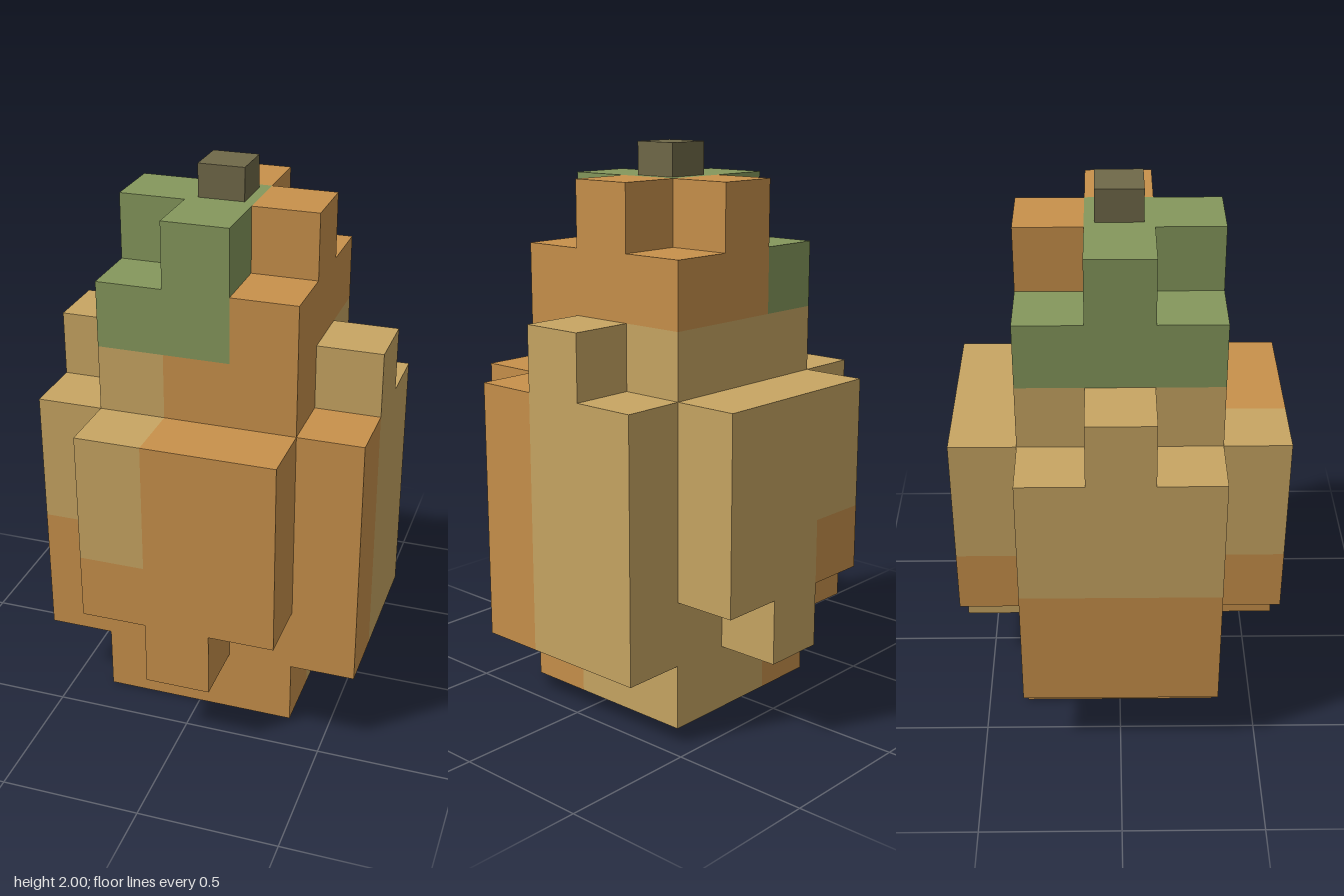
import * as THREE from 'three';
import { mergeGeometries } from 'three/addons/utils/BufferGeometryUtils.js';

const U = 2 / 8.5; // edge of one block

const material = (name, color) => {
  const m = new THREE.MeshStandardMaterial({ color });
  m.name = name;
  return m;
};

// Parts as block ranges: [x0, x1, y0, y1, z0, z1], inclusive
const PARTS = {
  core: [[-1, 1, 0, 6, -1, 1], [0, 0, 7, 7, -1, 1], [-1, 1, 7, 7, 0, 0]],
  frontSlab: [[-1, 1, 2, 4, 2, 2], [0, 0, 1, 1, 2, 2]],
  backSlab: [[-1, 1, 2, 4, -2, -2], [0, 0, 1, 1, -2, -2]],
  leftSlab: [[2, 2, 1, 4, -1, 1], [2, 2, 5, 5, 0, 0]],
  rightSlab: [[-2, -2, 1, 4, -1, 1], [-2, -2, 5, 5, 0, 0]],
};

// Patchwork colouring of the blocks
function colourOf(x, y, z) {
  if (y >= 6) return x < 0 || (x < 1 && z >= 0) ? 'green' : 'orange';
  if (y >= 3) return x >= 0 && z >= 1 ? 'orange' : 'tan';
  return x >= 0 && z < 1 ? 'tan' : 'orange';
}

// The six faces of a block: outward direction and rotation of a +z plane
const FACES = [
  [0, 0, 1, 0, 0], [0, 0, -1, 0, Math.PI],
  [1, 0, 0, 0, Math.PI / 2], [-1, 0, 0, 0, -Math.PI / 2],
  [0, 1, 0, -Math.PI / 2, 0], [0, -1, 0, Math.PI / 2, 0],
];

function cellsOf(ranges) {
  const cells = new Map();
  for (const [x0, x1, y0, y1, z0, z1] of ranges)
    for (let x = x0; x <= x1; x++)
      for (let y = y0; y <= y1; y++)
        for (let z = z0; z <= z1; z++) cells.set(`${x},${y},${z}`, [x, y, z]);
  return cells;
}

export function createModel() {
  const model = new THREE.Group();
  model.name = 'blockGourd';
  const materials = {
    orange: material('orange', 0xc8914b),
    tan: material('tan', 0xc8a663),
    green: material('green', 0x85985c),
  };
  const solid = cellsOf(Object.values(PARTS).flat());

  // Each part keeps only its exposed block faces, one mesh per colour
  for (const [name, ranges] of Object.entries(PARTS)) {
    const part = new THREE.Group();
    part.name = name;
    const faces = {};
    for (const [x, y, z] of cellsOf(ranges).values()) {
      const colour = colourOf(x, y, z);
      for (const [dx, dy, dz, rx, ry] of FACES) {
        if (solid.has(`${x + dx},${y + dy},${z + dz}`)) continue;
        const face = new THREE.PlaneGeometry(U, U).rotateX(rx).rotateY(ry);
        face.translate((x + dx / 2) * U, (y + 0.5 + dy / 2) * U, (z + dz / 2) * U);
        (faces[colour] ??= []).push(face);
      }
    }
    for (const [colour, list] of Object.entries(faces)) {
      const mesh = new THREE.Mesh(mergeGeometries(list), materials[colour]);
      mesh.name = `${name} ${colour}`;
      part.add(mesh);
    }
    model.add(part);
  }

  // Short stem on top
  const stem = new THREE.Mesh(
    new THREE.BoxGeometry(0.7 * U, 0.5 * U, 0.7 * U),
    material('stem brown', 0x706949),
  );
  stem.name = 'stem';
  stem.position.y = 8.25 * U;
  model.add(stem);
  return model;
}
